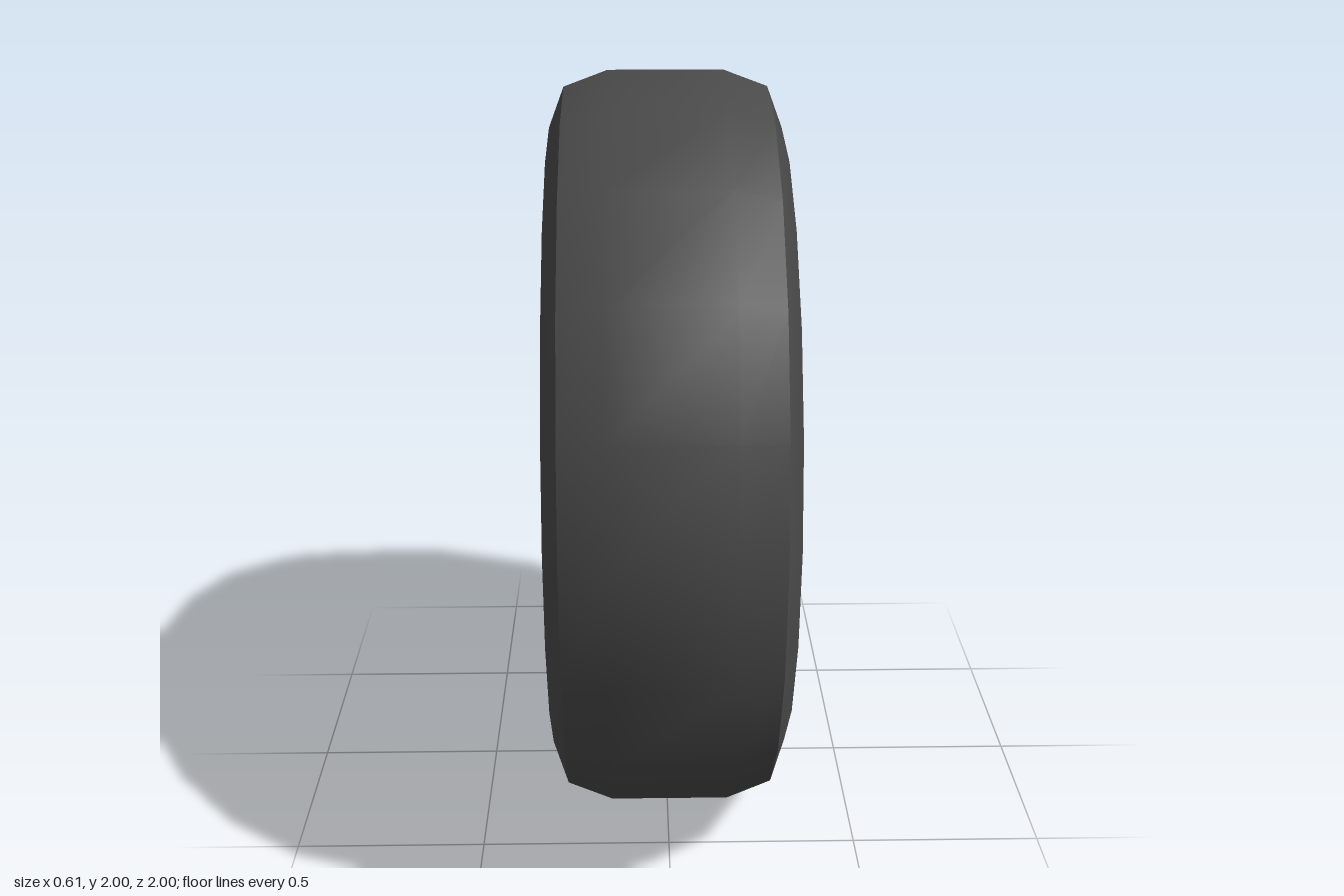
import * as THREE from 'three';
import { toCreasedNormals } from 'three/addons/utils/BufferGeometryUtils.js';

const SIDES = 20;
const HUB_X = 0.19, HUB_R = 0.66;

export function createModel() {
  const model = new THREE.Group();
  model.name = 'wheel';
  const rubber = new THREE.MeshStandardMaterial({ color: 0x4a4a4a });
  const grey = new THREE.MeshStandardMaterial({ color: 0xcccccc });

  // Half of the tyre section as [radius, x], from hub edge out to the tread
  const half = [[HUB_R, HUB_X], [0.67, 0.305], [0.85, 0.305], [0.957, 0.265], [1, 0.15]];
  const profile = [
    ...half.map(([r, x]) => new THREE.Vector2(r, -x)),
    ...half.slice().reverse().map(([r, x]) => new THREE.Vector2(r, x)),
  ];
  const tyreGeometry = new THREE.LatheGeometry(profile, SIDES).rotateZ(-Math.PI / 2);
  const tyre = new THREE.Mesh(toCreasedNormals(tyreGeometry, THREE.MathUtils.degToRad(35)), rubber);
  tyre.name = 'tyre';
  model.add(tyre);

  // Flat recessed hub disc on each side
  for (const side of [1, -1]) {
    const disc = new THREE.Mesh(new THREE.CircleGeometry(HUB_R, SIDES), grey);
    disc.name = side > 0 ? 'leftHubDisc' : 'rightHubDisc';
    disc.rotation.y = side * Math.PI / 2;
    disc.position.x = side * HUB_X;
    model.add(disc);
  }

  // Stand the wheel on the ground
  for (const part of model.children) part.position.y = 1;
  return model;
}
